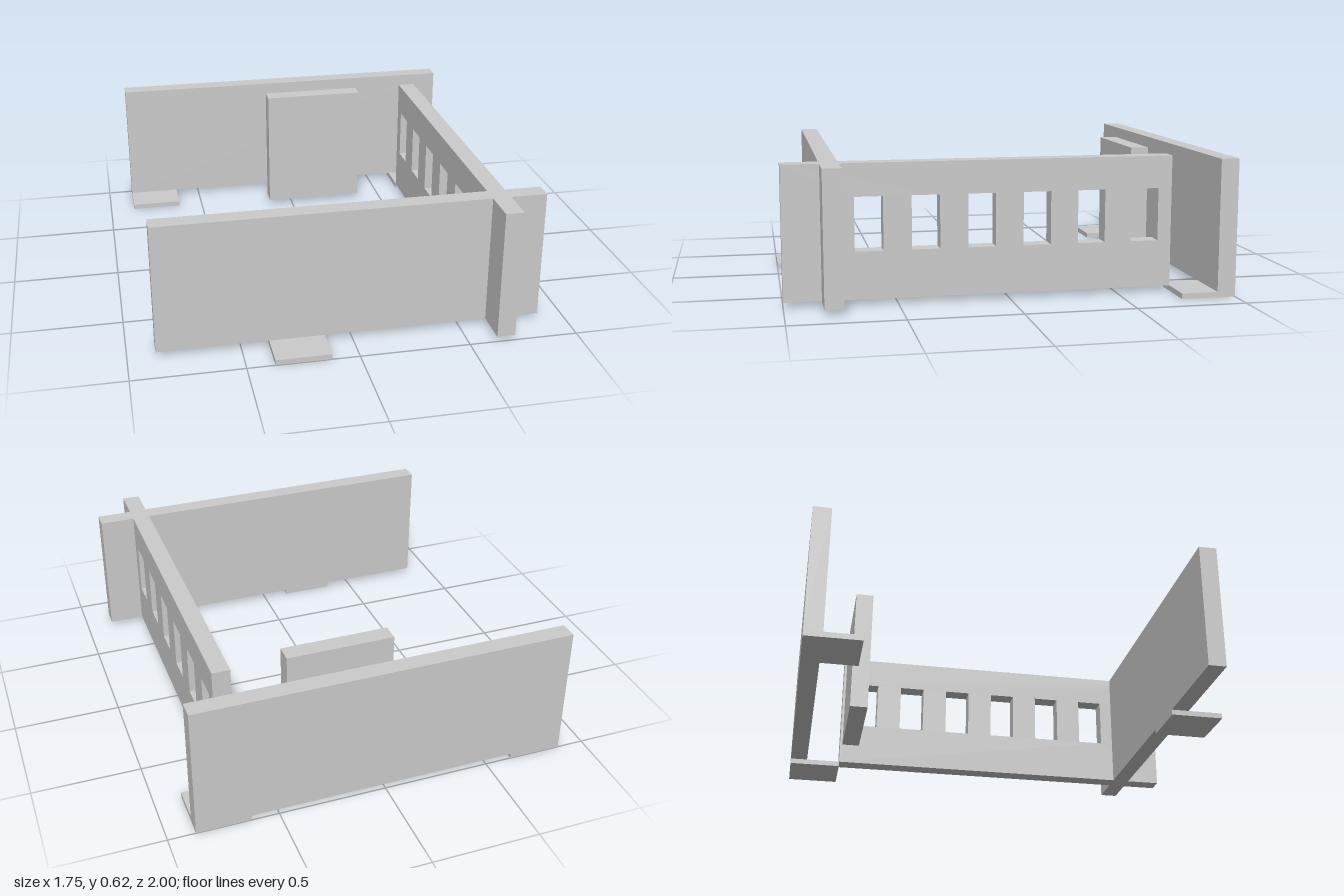
import * as THREE from 'three';

const T = 1 / 12;          // wall thickness
const Y0 = 0.025, Y1 = 0.625; // wall bottom and top
const SIDE_X0 = 0.625, SIDE_X1 = SIDE_X0 + T;

export function createModel() {
  const group = new THREE.Group();
  const material = new THREE.MeshStandardMaterial({ color: 0xcccccc, flatShading: true });

  const add = (name, geometry) => {
    const mesh = new THREE.Mesh(geometry, material);
    mesh.name = name;
    group.add(mesh);
  };
  // box given by its limits along x, y and z
  const block = (name, x0, x1, y0, y1, z0, z1) => {
    const geometry = new THREE.BoxGeometry(x1 - x0, y1 - y0, z1 - z0);
    add(name, geometry.translate((x0 + x1) / 2, (y0 + y1) / 2, (z0 + z1) / 2));
  };
  const rect = (path, u0, u1, v0, v1) => {
    path.moveTo(u0, v0).lineTo(u1, v0).lineTo(u1, v1).lineTo(u0, v1).closePath();
    return path;
  };

  // back wall on two feet that reach inwards
  block('backWall', -0.875, 0.875, Y0, Y1, -1, -1 + T);
  block('backFootRight', -0.875, -0.625, 0, Y0, -1, -0.75);
  block('backFootLeft', 0.625, 0.875, 0, Y0, -1, -0.75);

  // front wall, crossed by the side wall, with one foot reaching forwards
  block('frontWall', -0.875, SIDE_X0, Y0, Y1, 0.75, 0.75 + T);
  block('frontWallEnd', SIDE_X1, 0.875, Y0, Y1, 0.75, 0.75 + T);
  block('frontFoot', -0.375, -0.125, 0, Y0, 0.75, 1);

  // free-standing panel before the back wall
  block('innerPanel', -0.125, 0.375, Y0, Y1, -0.75, -0.75 + T);

  // side wall with a row of six windows, drawn along z and extruded along x
  const side = rect(new THREE.Shape(), -0.75, 1, Y0, Y1);
  for (let i = 0; i < 6; i++) {
    const z = -0.625 + i * 0.25;
    side.holes.push(rect(new THREE.Path(), z - 0.0625, z + 0.0625, 0.238, 0.478));
  }
  const sideGeometry = new THREE.ExtrudeGeometry(side, { depth: T, bevelEnabled: false });
  add('windowedSideWall', sideGeometry.rotateY(-Math.PI / 2).translate(SIDE_X1, 0, 0));

  return group;
}
